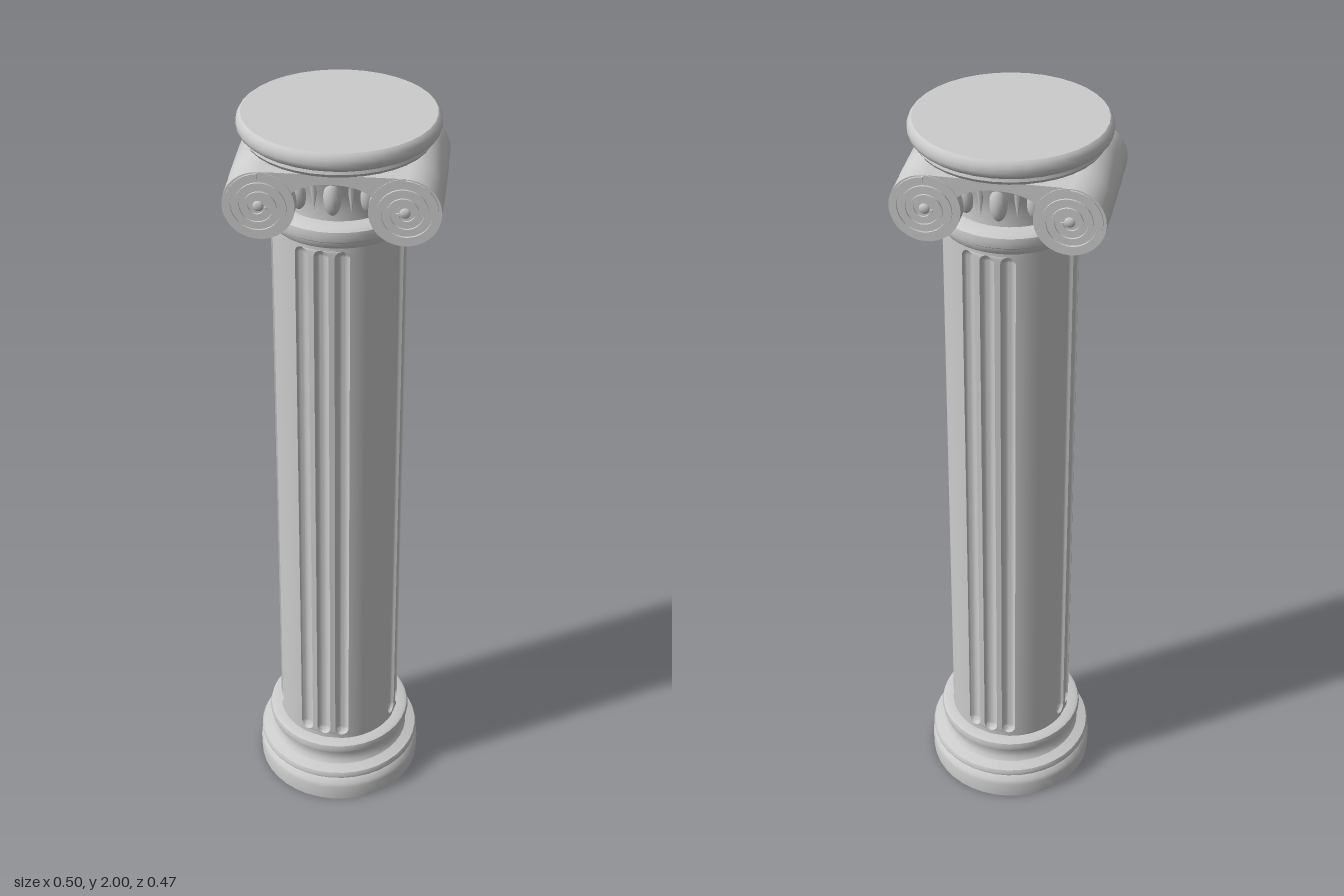
import * as THREE from 'three';
import { toCreasedNormals } from 'three/addons/utils/BufferGeometryUtils.js';

const stone = new THREE.MeshStandardMaterial({ color: 0xcccccc, side: THREE.DoubleSide });
const rad = THREE.MathUtils.degToRad;

function add(parent, name, geometry, x = 0, y = 0, z = 0) {
  const mesh = new THREE.Mesh(geometry, stone);
  mesh.name = name;
  mesh.position.set(x, y, z);
  parent.add(mesh);
  return mesh;
}

// Turned part from [radius, height] pairs
function turned(profile, segments = 40) {
  const points = profile.map(([r, y]) => new THREE.Vector2(r, y));
  return toCreasedNormals(new THREE.LatheGeometry(points, segments), 0.6);
}

// Shaft: a tube whose columns dip inward at each flute, with round flute ends
function shaftGeometry(y0, y1, r0, r1) {
  const half = rad(6.4), depth = 0.014, end = 0.02, low = y0 + 0.015, high = y1 - 0.015;
  const columns = [];
  const groups = [-9, 87, 171, 267];
  groups.forEach((middle, g) => {
    for (const step of [-17.7, 0, 17.7]) {
      for (let i = 0; i <= 8; i++) columns.push({ a: rad(middle + step), u: -Math.cos(Math.PI * i / 8) });
    }
    // plain stretch up to the next group
    const next = g < 3 ? groups[g + 1] : groups[0] + 360;
    const from = middle + 17.7 + 7, to = next - 17.7 - 7;
    for (let i = 0; i <= 7; i++) columns.push({ a: rad(from + (to - from) * i / 7), u: null });
  });
  const rows = [y0];
  for (let i = 0; i <= 6; i++) rows.push(low + end * (1 - Math.cos(Math.PI * i / 12)));
  for (let i = 6; i >= 0; i--) rows.push(high - end * (1 - Math.cos(Math.PI * i / 12)));
  rows.push(y1);

  const positions = [], index = [], n = columns.length;
  rows.forEach((y, j) => {
    const t = Math.max(0, (low + end - y) / end, (y - high + end) / end);
    const s = Math.sqrt(Math.max(0, 1 - t * t));
    const radius = THREE.MathUtils.lerp(r0, r1, (y - y0) / (y1 - y0));
    columns.forEach(({ a, u }, i) => {
      const angle = u === null ? a : a + u * half * Math.max(s, 0.02);
      const r = u === null ? radius : radius - depth * s * Math.sqrt(Math.max(0, 1 - u * u));
      positions.push(r * Math.sin(angle), y, r * Math.cos(angle));
      if (j === rows.length - 1) return;
      const p = j * n + i, q = j * n + (i + 1) % n;
      index.push(p, q, q + n, p, q + n, p + n);
    });
  });
  const geometry = new THREE.BufferGeometry();
  geometry.setAttribute('position', new THREE.Float32BufferAttribute(positions, 3));
  geometry.setIndex(index);
  return toCreasedNormals(geometry, 0.5);
}

// Raised scroll ribbon, narrowing toward the eye; turn sets the winding
function spiralGeometry(turn) {
  const outer = [], inner = [], steps = 90;
  for (let i = 0; i <= steps; i++) {
    const t = i / steps;
    const angle = Math.PI / 2 - turn * t * Math.PI * 2 * 2.75;
    const r = THREE.MathUtils.lerp(0.081, 0.02, t), w = THREE.MathUtils.lerp(0.013, 0.007, t);
    outer.push(new THREE.Vector2(r * Math.cos(angle), r * Math.sin(angle)));
    inner.unshift(new THREE.Vector2((r - w) * Math.cos(angle), (r - w) * Math.sin(angle)));
  }
  return new THREE.ExtrudeGeometry(new THREE.Shape([...outer, ...inner]), { depth: 0.006, bevelEnabled: false });
}

export function createModel() {
  const column = new THREE.Group();
  column.name = 'column';

  // Moulded base
  add(column, 'base', turned([
    [0, 0], [0.225, 0], [0.226, 0.045], [0.222, 0.056], [0.21, 0.068], [0.2, 0.073],
    [0.214, 0.075], [0.222, 0.081], [0.223, 0.09], [0.219, 0.098], [0.207, 0.102],
    [0.192, 0.107], [0.185, 0.118], [0.184, 0.138], [0.188, 0.15],
    [0.195, 0.154], [0.197, 0.165], [0.194, 0.177], [0.186, 0.181], [0.15, 0.181],
  ]));

  add(column, 'flutedShaft', shaftGeometry(0.18, 1.74, 0.165, 0.161));

  // Collar and drum under the scrolls
  add(column, 'collar', turned([
    [0.155, 1.733], [0.163, 1.735], [0.168, 1.742], [0.17, 1.752],
    [0.177, 1.757], [0.179, 1.77], [0.177, 1.782], [0.168, 1.789], [0.14, 1.792],
  ]));
  add(column, 'capitalDrum', turned([
    [0.14, 1.785], [0.138, 1.82], [0.143, 1.86], [0.16, 1.9], [0.165, 1.94],
  ]));

  // Cushion joining the scrolls, with an arched underside
  const arch = new THREE.Shape();
  arch.moveTo(-0.165, 1.918);
  arch.lineTo(0.165, 1.918);
  arch.lineTo(0.165, 1.86);
  arch.lineTo(0.1, 1.86);
  arch.quadraticCurveTo(0.07, 1.895, 0, 1.895);
  arch.quadraticCurveTo(-0.07, 1.895, -0.1, 1.86);
  arch.lineTo(-0.165, 1.86);
  arch.closePath();
  const cushion = new THREE.ExtrudeGeometry(arch, { depth: 0.33, bevelEnabled: false, curveSegments: 10 });
  add(column, 'cushion', toCreasedNormals(cushion, 0.5), 0, 0, -0.165);

  // Scroll rolls with a spiral and eye on each end
  for (const side of [-1, 1]) {
    const roll = new THREE.Group();
    roll.name = side > 0 ? 'leftScroll' : 'rightScroll';
    roll.position.set(side * 0.165, 1.835, 0);
    column.add(roll);
    add(roll, 'scrollRoll', turned([
      [0, -0.167], [0.083, -0.167], [0.083, -0.08], [0.084, -0.078],
      [0.084, 0.078], [0.083, 0.08], [0.083, 0.167], [0, 0.167],
    ], 36)).rotation.x = Math.PI / 2;
    for (const face of [-1, 1]) {
      const end = new THREE.Group();
      end.name = face > 0 ? 'frontScrollEnd' : 'backScrollEnd';
      end.position.z = face * 0.166;
      end.rotation.y = face > 0 ? 0 : Math.PI;
      roll.add(end);
      add(end, 'spiral', spiralGeometry(side * face));
      add(end, 'eye', new THREE.SphereGeometry(0.013, 14, 10)).scale.z = 0.5;
    }
  }

  // Egg ornaments with pointed darts between, front and back
  for (const face of [0, 180]) {
    for (const offset of [-34, 0, 34]) {
      const a = rad(face + offset);
      const egg = add(column, 'egg', new THREE.SphereGeometry(1, 16, 12),
        0.142 * Math.sin(a), 1.854, 0.142 * Math.cos(a));
      egg.scale.set(0.021, 0.046, 0.02);
      egg.rotation.y = a;
    }
    for (const offset of [-17, 17]) {
      const a = rad(face + offset);
      const dart = add(column, 'dart', new THREE.ConeGeometry(0.012, 0.08, 8),
        0.145 * Math.sin(a), 1.855, 0.145 * Math.cos(a));
      dart.rotation.x = Math.PI;
    }
  }

  // Round moulded top slab
  add(column, 'topSlab', turned([
    [0.15, 1.915], [0.172, 1.918], [0.185, 1.925], [0.2, 1.931], [0.214, 1.938], [0.219, 1.946],
    [0.217, 1.953], [0.224, 1.957], [0.232, 1.964], [0.235, 1.974], [0.234, 1.986],
    [0.229, 1.996], [0.224, 2], [0, 2],
  ], 36));

  return column;
}
